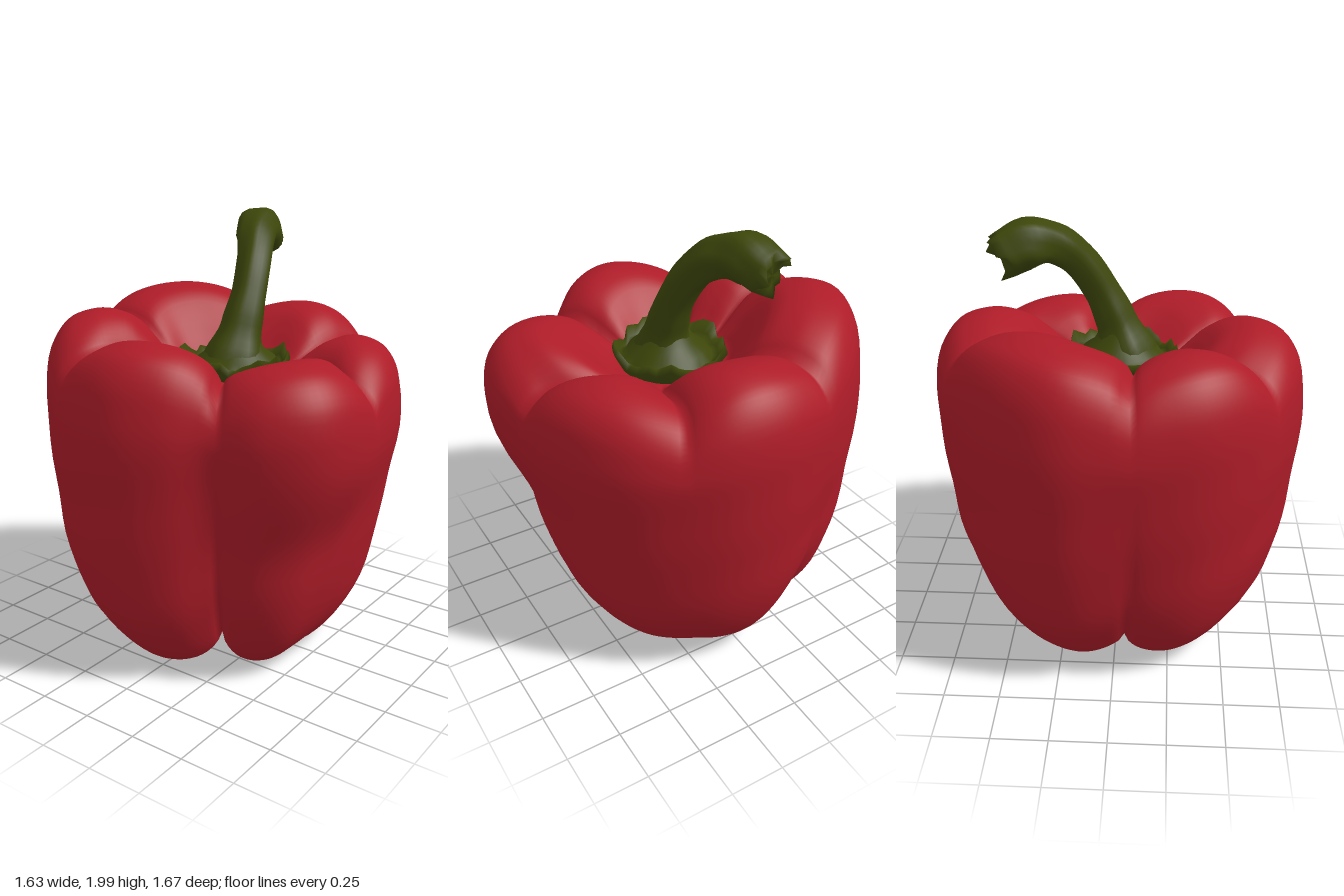
import * as THREE from 'three';

const RAD = Math.PI / 180;
const smooth = THREE.MathUtils.smoothstep;
const lerp = THREE.MathUtils.lerp;

// Outer radius of the fruit every 15 degrees, from +x towards +z
const OUTLINE = [
  0.785, 0.85, 0.885, 0.83, 0.725, 0.78, 0.83, 0.825, 0.81, 0.82, 0.82, 0.80,
  0.80, 0.83, 0.82, 0.81, 0.81, 0.815, 0.835, 0.835, 0.815, 0.81, 0.795, 0.785];

// Grooves between lobes: angle, height at the shoulder, depth on the side,
// rise under the base, swing of the inner end in degrees, softness of the
// crease, and crest height of the lobe that follows
const GROOVES = [
  { a: 0, h: 1.32, side: 0, base: 0.01, swing: -24, soft: 0.8, crest: 1.46 },
  { a: 58, h: 1.33, side: 0.08, base: 0.13, swing: 0, soft: 0.55, crest: 1.52 },
  { a: 120, h: 1.42, side: 0, base: 0.01, swing: 14, soft: 0.8, crest: 1.57 },
  { a: 174, h: 1.47, side: 0.06, base: 0.10, swing: -6, soft: 0.6, crest: 1.62 },
  { a: 249, h: 1.475, side: 0.04, base: 0.12, swing: 0, soft: 0.7, crest: 1.535 },
  { a: 298, h: 1.385, side: 0, base: 0.01, swing: 12, soft: 0.8, crest: 1.455 }];

// Section of the fruit: radius fraction, height, how far it follows the crest
const SECTION = [
  [0, 0.07, 0], [0.15, 0.058, 0], [0.3, 0.024, 0], [0.45, 0.002, 0], [0.58, 0.026, 0],
  [0.72, 0.12, 0], [0.85, 0.29, 0], [0.93, 0.52, 0], [0.97, 0.78, 0], [1, 1.08, 0.15],
  [0.995, 1.25, 0.5], [0.95, 1.385, 0.85], [0.87, 1.462, 1], [0.78, 1.492, 1], [0.69, 1.5, 1],
  [0.57, 1.475, 1], [0.46, 1.41, 0.75], [0.36, 1.33, 0.35], [0.28, 1.29, 0], [0.15, 1.27, 0],
  [0, 1.27, 0]];

function outline(deg) {
  const f = (((deg % 360) + 360) % 360) / 15, i = Math.floor(f), t = f - i;
  const [p, q, r, s] = [-1, 0, 1, 2].map(k => OUTLINE[(i + k + 24) % 24]);
  return q + 0.5 * t * (r - p + t * (2 * p - 5 * q + 4 * r - s + t * (3 * (q - r) + s - p)));
}

// Bell-shaped weight around an angle, wrapping at 360
function around(deg, centre, width) {
  const d = ((deg - centre + 540) % 360) - 180;
  return Math.exp(-((d / width) ** 2));
}

// Closed skin over rings of points (each ring has the same count)
function skin(rings) {
  const n = rings[0].length, pos = [], index = [];
  rings.forEach(ring => ring.forEach(p => pos.push(p.x, p.y, p.z)));
  for (let i = 0; i < rings.length - 1; i++) {
    for (let j = 0; j < n; j++) {
      const a = i * n + j, b = i * n + (j + 1) % n;
      index.push(a, a + n, b, a + n, b + n, b);
    }
  }
  const g = new THREE.BufferGeometry();
  g.setAttribute('position', new THREE.Float32BufferAttribute(pos, 3));
  g.setIndex(index);
  g.computeVertexNormals();
  return g;
}

// Six-lobed fruit
function fruitGeometry() {
  const curve = new THREE.CatmullRomCurve3(SECTION.map(p => new THREE.Vector3(...p)));
  const columns = [];
  GROOVES.forEach((g, i) => {
    const next = GROOVES[(i + 1) % 6], end = next.a > g.a ? next.a : next.a + 360;
    for (let k = 0; k < 24; k++) {
      const t = k / 24, u = 2 * t - 1;
      const mix = key => lerp(g[key], next[key], t);
      const arch = Math.pow(1 - u * u, mix('soft'));
      columns.push({
        deg: lerp(g.a, end, t),
        top: lerp(mix('h'), g.crest, arch),
        side: mix('side') * (1 - arch),
        base: mix('base') * (1 - arch),
        swing: mix('swing'),
      });
    }
  });
  return skin(curve.getPoints(76).map(p => columns.map(c => {
    const rho = Math.max(p.x, 0), upper = smooth(p.y, 1.2, 1.28);
    const inner = upper * (1 - smooth(rho, 0.3, 0.85));
    const a = (c.deg + c.swing * inner) * RAD;
    // the +x flank narrows towards the base and its groove fades out there
    const low = (1 - smooth(p.y, 0.55, 1.1)) * smooth(rho, 0.1, 0.5);
    const taper = 1 - 0.16 * around(c.deg, 16, 42) * low;
    const fill = 0.035 * around(c.deg, 0, 14) * low;
    const ripple = 0.005 * Math.sin(3 * c.deg * RAD + 9 * p.y) * Math.sin(7 * p.y);
    const cut = c.side * (1 - smooth(p.y, 0.1, 1.3));
    const r = rho * (outline(c.deg) * taper + fill - cut + ripple);
    const under = c.base * smooth(rho, 0.15, 0.5) * (1 - smooth(p.y, 0.1, 0.6));
    const y = p.y + p.z * (c.top - 1.5) + under;
    const shift = upper * (1 - rho);
    return new THREE.Vector3(r * Math.cos(a) + 0.04 * shift, y, r * Math.sin(a) + 0.02 * shift);
  })));
}

// Crinkled leafy collar around the stem
function collarGeometry() {
  const section = [[0.2, 1.27, 0], [0.255, 1.34, 1], [0.245, 1.375, 1], [0.222, 1.335, 0.5],
    [0.2, 1.325, 0.2], [0.175, 1.365, 0], [0.125, 1.4, 0], [0.085, 1.47, 0]];
  return skin(section.map(([r, y, k]) => Array.from({ length: 48 }, (_, j) => {
    const a = j / 48 * Math.PI * 2;
    const wave = Math.sin(5 * a) + 0.6 * Math.sin(11 * a + 1) + 0.5 * Math.sin(17 * a);
    const rr = r + 0.008 * k * wave;
    return new THREE.Vector3(
      lerp(0.06, 0.04, k) + rr * Math.cos(a), y + 0.018 * k * wave, 0.005 + rr * Math.sin(a));
  })));
}

// Bent stem with a flared, torn end
function stemGeometry() {
  const path = new THREE.CatmullRomCurve3([
    [0.06, 1.34, 0.03], [0.07, 1.5, -0.02], [0.065, 1.65, -0.09], [0.03, 1.79, -0.18],
    [-0.03, 1.875, -0.28], [-0.085, 1.89, -0.38], [-0.12, 1.855, -0.47],
  ].map(p => new THREE.Vector3(...p)));
  const radii = [0.14, 0.092, 0.078, 0.078, 0.088, 0.108, 0.1];
  const sides = 24, steps = 30, rings = [];
  const ring = (t, radius, tear, push) => {
    const c = path.getPoint(t), T = path.getTangent(t);
    const N = new THREE.Vector3(1, 0, 0).addScaledVector(T, -T.x).normalize();
    const B = new THREE.Vector3().crossVectors(N, T);
    rings.push(Array.from({ length: sides }, (_, j) => {
      const a = j / sides * Math.PI * 2;
      const r = radius * (1 + 0.05 * Math.sin(5 * a + 3 * t));
      const jag = tear * (0.6 * Math.sin(3 * a + 0.6) + 0.4 * Math.sin(7 * a)) + push;
      return c.clone().addScaledVector(N, r * Math.cos(a))
        .addScaledVector(B, r * Math.sin(a)).addScaledVector(T, jag);
    }));
  };
  for (let i = 0; i <= steps; i++) {
    const f = i / steps * (radii.length - 1), k = Math.min(Math.floor(f), radii.length - 2);
    ring(i / steps, lerp(radii[k], radii[k + 1], smooth(f - k, 0, 1)), 0, 0);
  }
  ring(1, 0.093, 0.035, 0.032);
  ring(1, 0.065, 0.01, 0.022);
  ring(1, 0, 0, 0.025);
  return skin(rings);
}

export function createModel() {
  const red = new THREE.MeshStandardMaterial({ color: 0xad1c28 });
  red.name = 'red skin';
  const green = new THREE.MeshStandardMaterial({ color: 0x3d460a, side: THREE.DoubleSide });
  green.name = 'stem green';

  const group = new THREE.Group();
  group.name = 'bellPepper';
  const add = (name, geometry, material) => {
    const mesh = new THREE.Mesh(geometry, material);
    mesh.name = name;
    group.add(mesh);
  };
  add('fruit', fruitGeometry(), red);
  add('collar', collarGeometry(), green);
  add('stem', stemGeometry(), green);
  return group;
}
